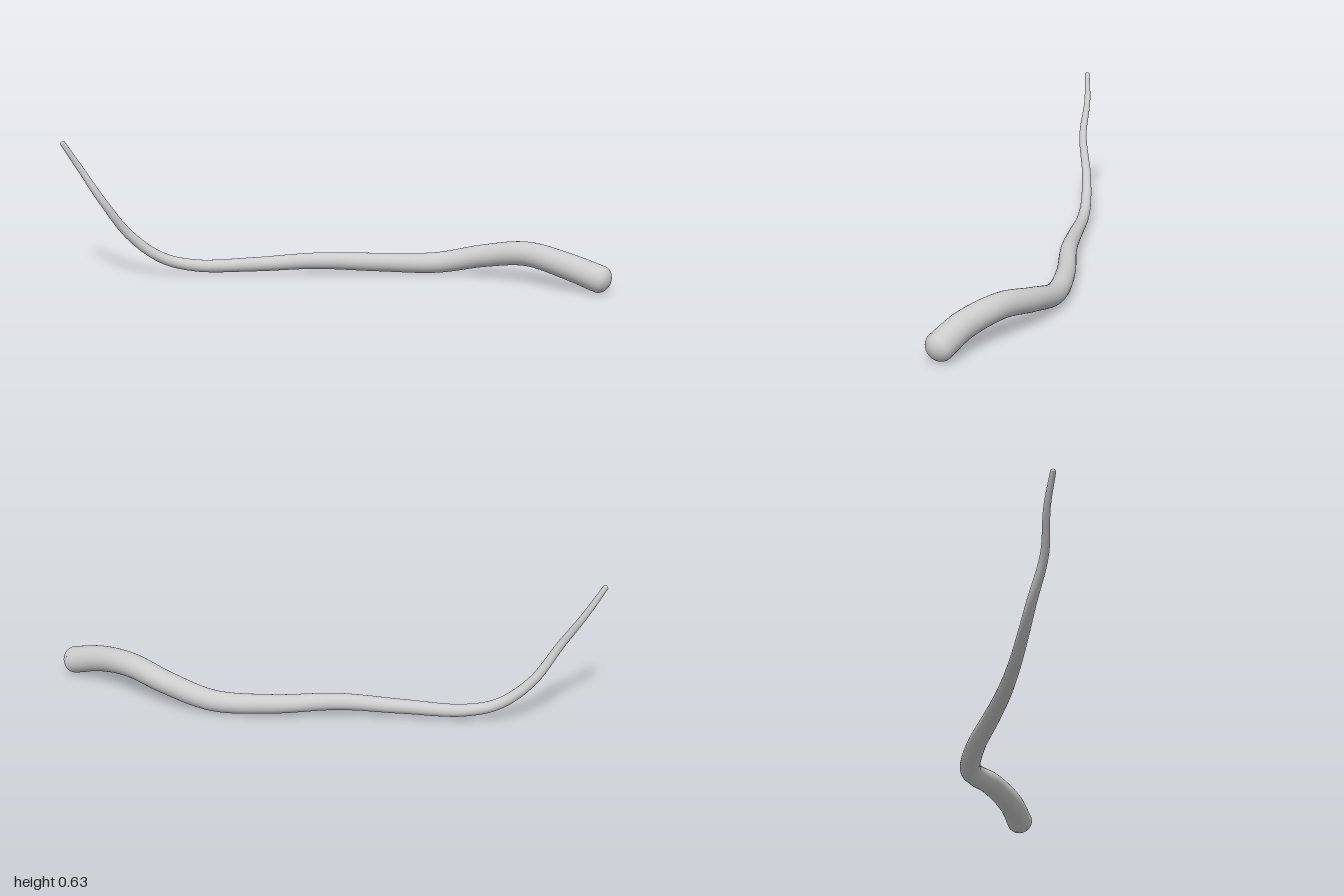
import * as THREE from 'three';

// Centre line from the thin raised tip to the thick end
const PATH = [
  [-0.988, 0.62, 0.715], [-0.94, 0.5, 0.657], [-0.862, 0.35, 0.597], [-0.8, 0.19, 0.497],
  [-0.71, 0.085, 0.393], [-0.6, 0.047, 0.288], [-0.4, 0.052, 0.11], [-0.2, 0.066, -0.08],
  [0, 0.053, -0.295], [0.2, 0.053, -0.462], [0.4, 0.1, -0.56], [0.6, 0.132, -0.605],
  [0.8, 0.105, -0.629], [0.945, 0.063, -0.668],
];
const TIP_RADIUS = 0.012;
const END_RADIUS = 0.061;
const SIDES = 32;
const SEGMENTS = 200;

export function createModel() {
  const group = new THREE.Group();
  group.name = 'taperedTail';
  const material = new THREE.MeshStandardMaterial({ color: 0xcccccc });
  const curve = new THREE.CatmullRomCurve3(PATH.map((p) => new THREE.Vector3(...p)));
  curve.arcLengthDivisions = 800;

  // Body: a unit-radius tube whose rings are drawn in to a linear taper
  const body = new THREE.TubeGeometry(curve, SEGMENTS, 1, SIDES, false);
  const pos = body.attributes.position;
  const v = new THREE.Vector3();
  for (let i = 0; i <= SEGMENTS; i++) {
    const t = i / SEGMENTS;
    const centre = curve.getPointAt(t);
    const radius = THREE.MathUtils.lerp(TIP_RADIUS, END_RADIUS, t);
    for (let j = 0; j <= SIDES; j++) {
      const k = i * (SIDES + 1) + j;
      v.fromBufferAttribute(pos, k).sub(centre).multiplyScalar(radius).add(centre);
      pos.setXYZ(k, v.x, v.y, v.z);
    }
  }
  const bodyMesh = new THREE.Mesh(body, material);
  bodyMesh.name = 'body';
  group.add(bodyMesh);

  // Rounded caps, slightly flattened along the centre line
  const addCap = (name, t, radius, direction) => {
    const dome = new THREE.SphereGeometry(radius, SIDES, 12, 0, Math.PI * 2, 0, Math.PI / 2);
    const cap = new THREE.Mesh(dome, material);
    cap.name = name;
    cap.scale.y = 0.82;
    cap.position.copy(curve.getPointAt(t));
    const axis = curve.getTangentAt(t).multiplyScalar(direction);
    cap.quaternion.setFromUnitVectors(new THREE.Vector3(0, 1, 0), axis);
    group.add(cap);
  };
  addCap('thinTip', 0, TIP_RADIUS, -1);
  addCap('thickEnd', 1, END_RADIUS, 1);

  return group;
}
